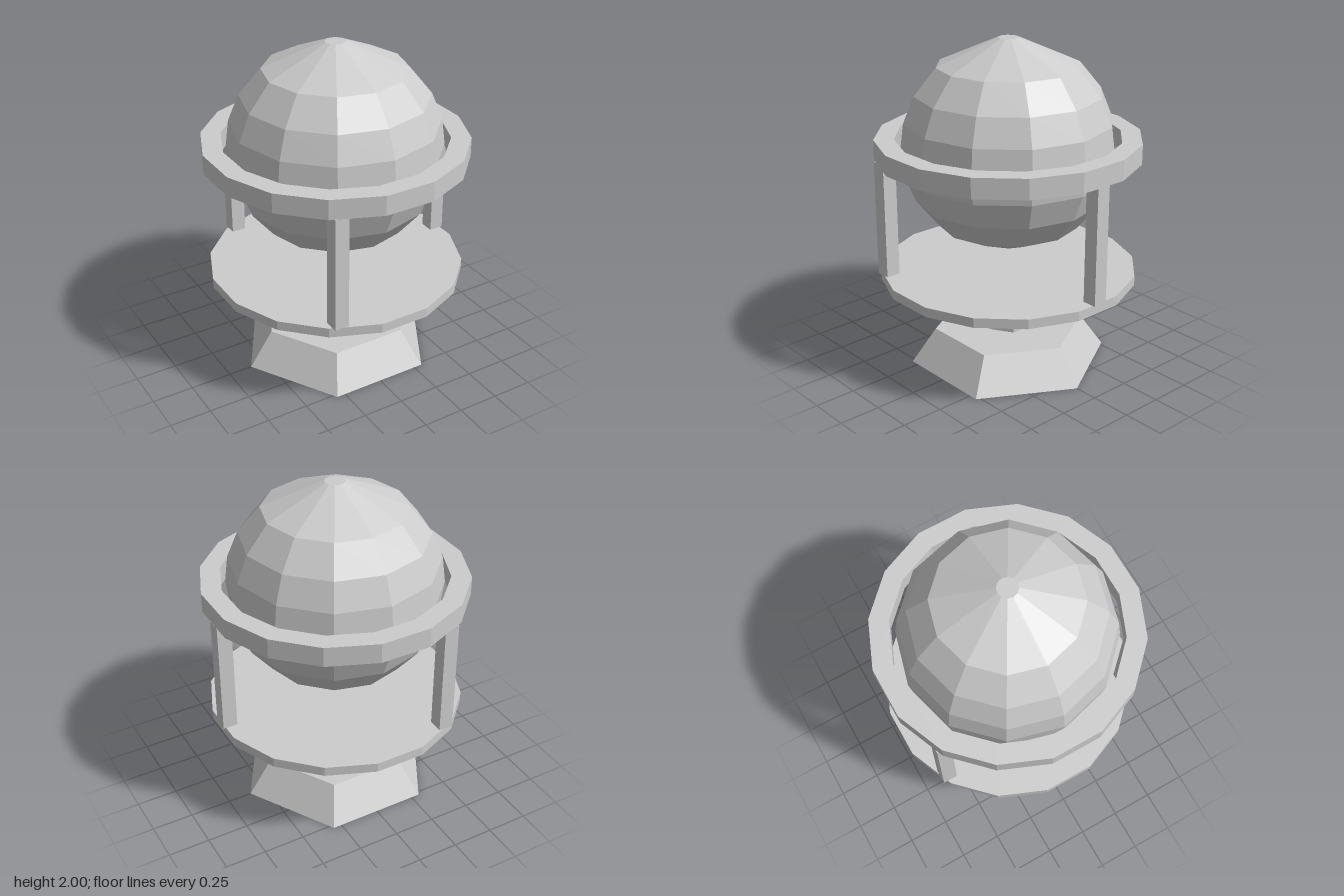
import * as THREE from 'three';

export function createModel() {
  const group = new THREE.Group();
  const grey = new THREE.MeshStandardMaterial({ color: 0xcccccc, flatShading: true });
  grey.name = 'grey';

  const add = (name, geometry, x = 0, y = 0, z = 0) => {
    const mesh = new THREE.Mesh(geometry, grey);
    mesh.name = name;
    mesh.position.set(x, y, z);
    group.add(mesh);
    return mesh;
  };
  // Upright prism or frustum between two heights
  const prism = (name, rTop, rBottom, y0, y1, sides, turn = 0) =>
    add(name, new THREE.CylinderGeometry(rTop, rBottom, y1 - y0, sides, 1, false, turn), 0, (y0 + y1) / 2, 0);
  const lathe = (points, sides, turn = 0) =>
    new THREE.LatheGeometry(points.map(([r, y]) => new THREE.Vector2(r, y)), sides, turn);

  // Pedestal
  prism('base', 0.457, 0.605, 0, 0.21, 6, Math.PI / 6);
  prism('column', 0.15, 0.15, 0.21, 0.55, 6);
  prism('plate', 0.77, 0.77, 0.55, 0.608, 16, Math.PI / 16);

  // Three square posts
  for (let i = 0; i < 3; i++) {
    const a = i * Math.PI * 2 / 3;
    add('post' + (i + 1), new THREE.BoxGeometry(0.088, 0.699, 0.088),
      0.727 * Math.cos(a), 0.957, 0.727 * Math.sin(a));
  }

  // Horizontal ring around the globe
  add('ring', lathe([[0.667, 1.306], [0.785, 1.306], [0.785, 1.425], [0.667, 1.425], [0.667, 1.306]],
    16, Math.PI / 16));

  // Globe sliced at even heights, with small flat caps
  const R = 0.635, slices = 8, profile = [[0, -R]];
  for (let i = 0; i <= slices; i++) {
    const y = -R + 2 * R * i / slices;
    profile.push([Math.max(0.06, Math.sqrt(Math.max(0, R * R - y * y))), y]);
  }
  profile.push([0, R]);
  add('globe', lathe(profile, 12), 0, 2 - R, 0);

  return group;
}
